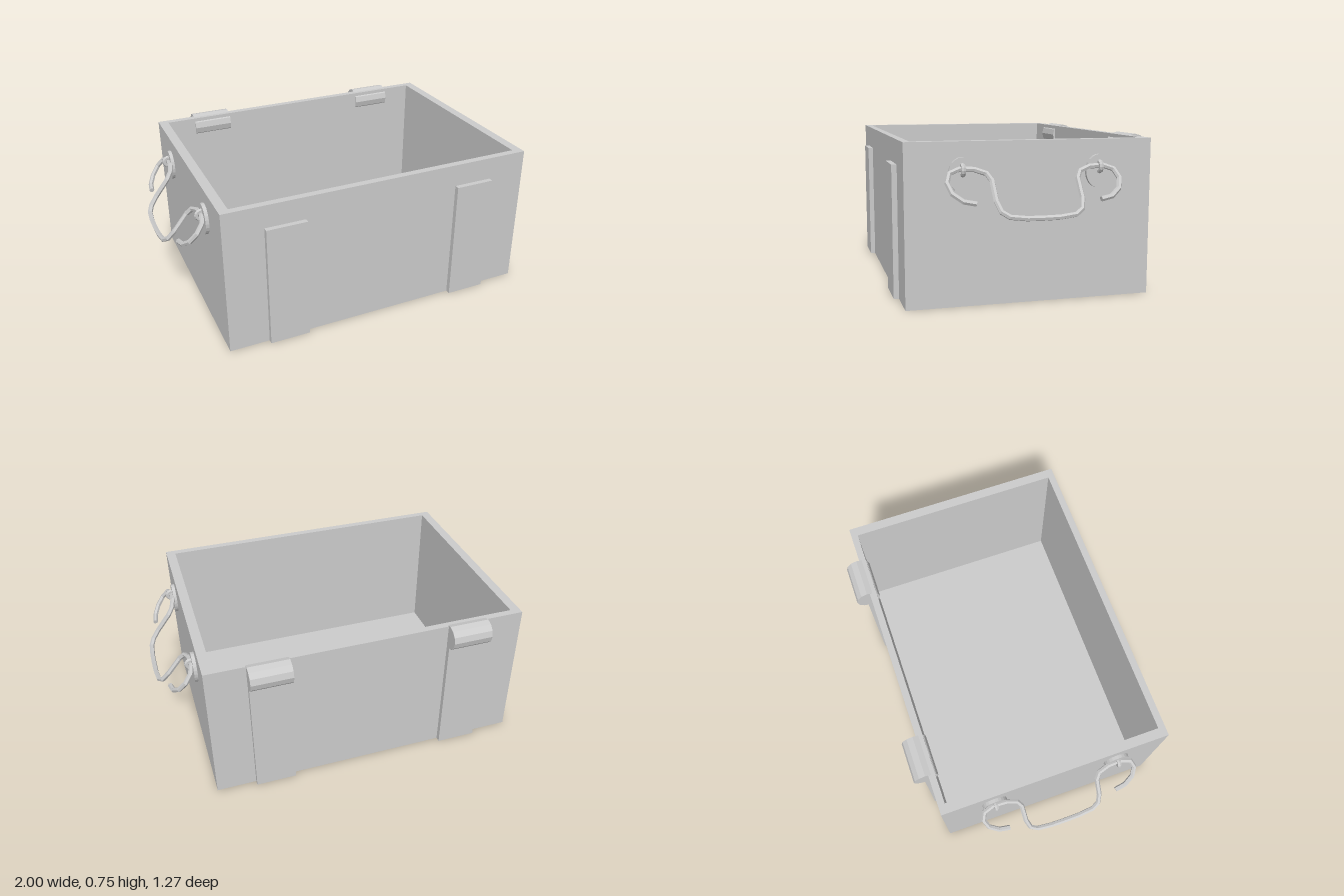
import * as THREE from 'three';

const material = new THREE.MeshStandardMaterial({ color: 0xcccccc, flatShading: true });

function addMesh(parent, name, geometry, x = 0, y = 0, z = 0) {
  const mesh = new THREE.Mesh(geometry, material);
  mesh.name = name;
  mesh.position.set(x, y, z);
  parent.add(mesh);
  return mesh;
}

// Open box: rectangular loops run up the outside, over the rim and down to the floor
function openBox() {
  const loop = (x, zBack, zFront, y) => [[-x, y, zFront], [x, y, zFront], [x, y, zBack], [-x, y, zBack]];
  const loops = [
    loop(0.805, -0.557, 0.609, 0),
    loop(0.805, -0.557, 0.609, 0.745),
    loop(0.757, -0.523, 0.574, 0.745),
    loop(0.757, -0.523, 0.574, 0.022),
  ];
  const pos = [];
  const quad = (a, b, c, d) => pos.push(...a, ...b, ...c, ...a, ...c, ...d);
  for (let k = 0; k < loops.length - 1; k++) {
    const lo = loops[k], hi = loops[k + 1];
    for (let i = 0; i < 4; i++) {
      const j = (i + 1) % 4;
      quad(lo[i], lo[j], hi[j], hi[i]);
    }
  }
  quad(...loops[3]);                    // inside floor
  quad(...[...loops[0]].reverse());     // underside
  const geometry = new THREE.BufferGeometry();
  geometry.setAttribute('position', new THREE.Float32BufferAttribute(pos, 3));
  geometry.computeVertexNormals();
  return geometry;
}

// Half of the handle outline: [distance from the middle, height], middle to curled end
const HANDLE_HALF = [
  [0, 0.421], [0.075, 0.422], [0.15, 0.43], [0.184, 0.451], [0.198, 0.493],
  [0.2, 0.575], [0.218, 0.604], [0.27, 0.622], [0.337, 0.625], [0.385, 0.608],
  [0.401, 0.57], [0.384, 0.527], [0.34, 0.496], [0.286, 0.486],
];
const HANDLE_Z = 0.03;
const ROD_RADIUS = 0.0125;

function sideHandle(side) {
  const group = new THREE.Group();
  group.name = side > 0 ? 'leftHandle' : 'rightHandle';

  // Bent rod, leaning outward as it hangs, with one joint at each outline point
  const point = ([d, y], m) => new THREE.Vector3(side * (0.825 + (0.625 - y) * 0.8), y, HANDLE_Z + m * d);
  const points = [
    ...HANDLE_HALF.slice(1).reverse().map((p) => point(p, -1)),
    ...HANDLE_HALF.map((p) => point(p, 1)),
  ];
  const path = new THREE.CatmullRomCurve3(points);
  path.getPointAt = path.getPoint;
  path.getTangentAt = path.getTangent;
  addMesh(group, 'handleRod', new THREE.TubeGeometry(path, points.length - 1, ROD_RADIUS, 6));
  for (const t of [0, 1]) {
    const end = path.getPoint(t);
    const cap = addMesh(group, 'rodEnd', new THREE.CircleGeometry(ROD_RADIUS, 6), end.x, end.y, end.z);
    cap.lookAt(end.clone().addScaledVector(path.getTangent(t), t ? 1 : -1));
  }

  // Oval mounting plates and the rings that hold the rod
  for (const m of [-1, 1]) {
    const z = HANDLE_Z + m * 0.322;
    const plate = new THREE.CylinderGeometry(1, 1, 0.02, 24);
    plate.rotateZ(Math.PI / 2).scale(1, 0.078, 0.063);
    addMesh(group, 'handlePlate', plate, side * 0.812, 0.598, z);
    addMesh(group, 'handleRing', new THREE.TorusGeometry(0.022, 0.011, 6, 14), side * 0.825, 0.62, z);
  }
  return group;
}

export function createModel() {
  const model = new THREE.Group();
  model.name = 'crate';
  addMesh(model, 'openBox', openBox());

  for (const side of [-1, 1]) {
    // Straps on front and back, with a hinge barrel above each back strap
    const x = side * 0.504;
    addMesh(model, 'frontStrap', new THREE.BoxGeometry(0.203, 0.63, 0.04), x, 0.315, 0.614);
    addMesh(model, 'backStrap', new THREE.BoxGeometry(0.203, 0.68, 0.04), x, 0.34, -0.563);
    const barrel = new THREE.CylinderGeometry(0.0625, 0.0625, 0.204, 12);
    barrel.rotateZ(Math.PI / 2);
    addMesh(model, 'hingeBarrel', barrel, x, 0.69, -0.572);
    model.add(sideHandle(side));
  }
  return model;
}
